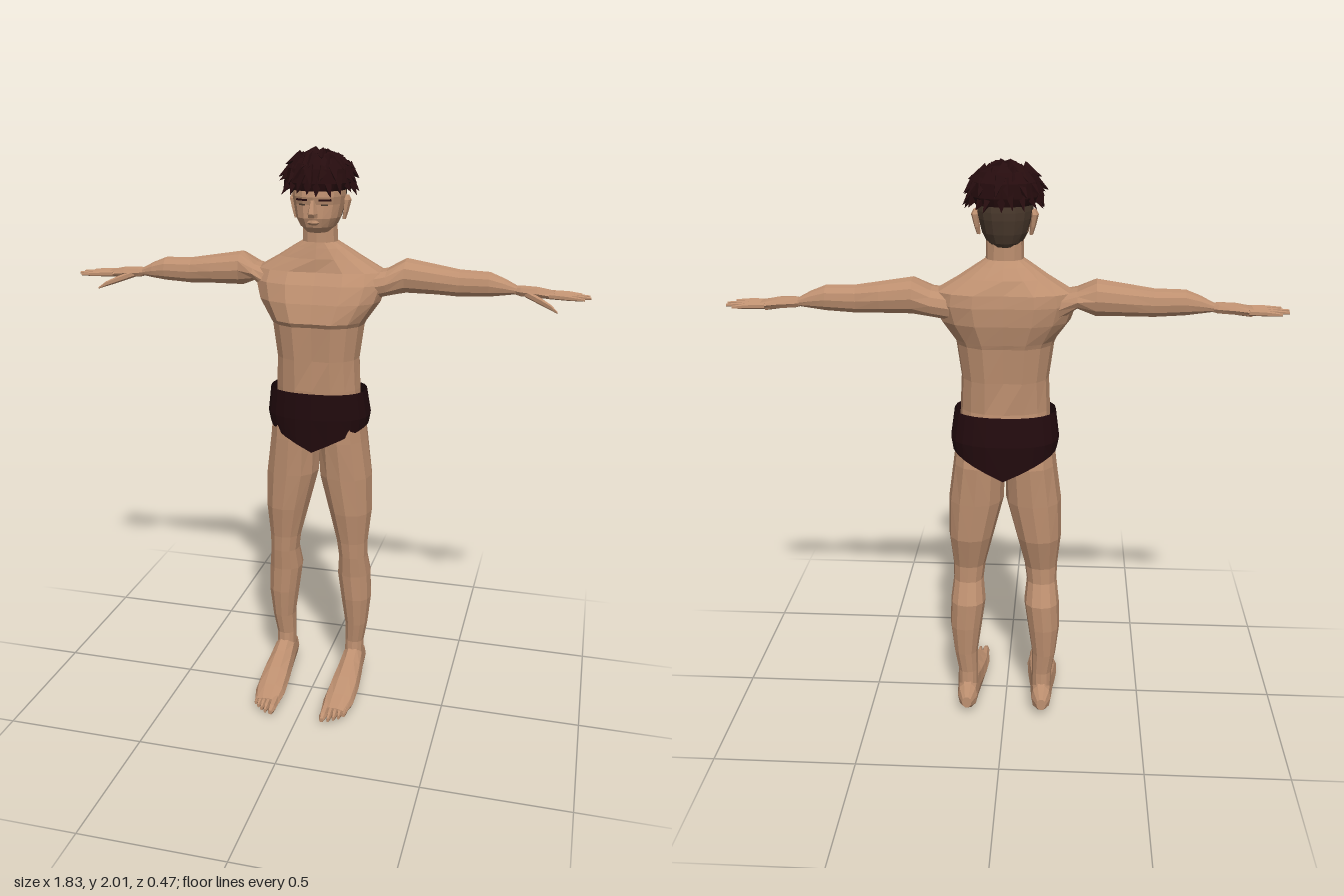
import * as THREE from 'three';

const skin = new THREE.MeshStandardMaterial({ color: 0xbe9070 });
const hairMat = new THREE.MeshStandardMaterial({ color: 0x260c0e });
const briefsMat = new THREE.MeshStandardMaterial({ color: 0x210a0d, side: THREE.DoubleSide });
const stubble = new THREE.MeshStandardMaterial({ color: 0x4c3b2e });
skin.name = 'skin';
hairMat.name = 'hair';
briefsMat.name = 'briefs';
stubble.name = 'stubble';

// Cross-section along an axis from a row [position, minA, maxA, minB, maxB].
function ring(axis, [p, a0, a1, b0, b1], n, power = 0.9) {
  const pts = [];
  for (let i = 0; i < n; i++) {
    const t = (i / n) * Math.PI * 2;
    const soft = v => Math.sign(v) * Math.abs(v) ** power;
    const a = (a0 + a1) / 2 + ((a1 - a0) / 2) * soft(Math.cos(t));
    const b = (b0 + b1) / 2 + ((b1 - b0) / 2) * soft(Math.sin(t));
    if (axis === 'x') pts.push(new THREE.Vector3(p, a, b));
    else if (axis === 'y') pts.push(new THREE.Vector3(a, p, b));
    else pts.push(new THREE.Vector3(a, b, p));
  }
  return pts;
}

// Faceted skin over a stack of rings, wound outward.
function skinRings(rings, capped = true) {
  const tris = [];
  const n = rings[0].length;
  for (let r = 0; r + 1 < rings.length; r++) {
    for (let i = 0; i < n; i++) {
      const j = (i + 1) % n;
      const a = rings[r][i], b = rings[r][j], c = rings[r + 1][i], d = rings[r + 1][j];
      tris.push([a, c, b], [b, c, d]);
    }
  }
  if (capped) {
    const mid = pts => pts.reduce((s, p) => s.add(p), new THREE.Vector3()).divideScalar(n);
    const first = rings[0], last = rings[rings.length - 1];
    const m0 = mid(first), m1 = mid(last);
    for (let i = 0; i < n; i++) {
      const j = (i + 1) % n;
      tris.push([m0, first[i], first[j]], [m1, last[j], last[i]]);
    }
  }
  let volume = 0;
  for (const [a, b, c] of tris) volume += a.dot(b.clone().cross(c));
  const pts = tris.flatMap(([a, b, c]) => (volume < 0 ? [a, c, b] : [a, b, c]));
  const geo = new THREE.BufferGeometry().setFromPoints(pts);
  geo.computeVertexNormals();
  return geo;
}

function loft(axis, rows, n, side = 1, adjust = null) {
  const rings = rows.map(row => ring(axis, row, n));
  rings.flat().forEach(p => {
    if (adjust) adjust(p);
    p.x *= side;
  });
  return skinRings(rings);
}

// Rows symmetric about x = 0: [y, halfWidth, back, front].
const sym = rows => rows.map(([y, w, b, f]) => [y, -w, w, b, f]);

export function createModel() {
  const root = new THREE.Group();
  const add = (name, geo, mat = skin, parent = root) => {
    const mesh = new THREE.Mesh(geo, mat);
    mesh.name = name;
    parent.add(mesh);
    return mesh;
  };

  // Torso with a shallow breastbone and spine groove
  add('torso', loft('y', sym([
    [0.99, 0.05, -0.17, -0.04], [1.06, 0.155, -0.21, 0], [1.19, 0.152, -0.193, 0.01],
    [1.3, 0.147, -0.202, 0.02], [1.42, 0.163, -0.215, 0.03], [1.435, 0.17, -0.22, 0.04],
    [1.5, 0.215, -0.235, 0.025], [1.56, 0.235, -0.238, 0], [1.6, 0.228, -0.232, -0.028],
    [1.645, 0.15, -0.205, -0.042], [1.68, 0.095, -0.178, -0.05], [1.7, 0.062, -0.162, -0.055],
  ]), 16, 1, p => {
    if (Math.abs(p.x) < 0.001 && p.y > 1.25 && p.y < 1.62) p.z += p.z > -0.1 ? -0.012 : 0.012;
  }));
  add('neck', loft('y', sym([
    [1.62, 0.085, -0.18, -0.06], [1.7, 0.062, -0.16, -0.055], [1.78, 0.06, -0.16, -0.055],
  ]), 12));

  // Head, with close-cropped hair at the back
  const head = new THREE.Group();
  head.name = 'head';
  root.add(head);
  const skull = loft('y', sym([
    [1.735, 0.04, -0.155, -0.035], [1.755, 0.06, -0.17, -0.012], [1.785, 0.076, -0.182, -0.002],
    [1.83, 0.086, -0.193, -0.006], [1.855, 0.09, -0.196, 0], [1.91, 0.092, -0.196, -0.008],
    [1.96, 0.07, -0.17, -0.03],
  ]), 16);
  const pos = skull.attributes.position;
  for (let i = 0; i < pos.count; i += 3) {
    const z = (pos.getZ(i) + pos.getZ(i + 1) + pos.getZ(i + 2)) / 3;
    skull.addGroup(i, 3, z < -0.112 ? 1 : 0);
  }
  add('skull', skull, [skin, stubble], head);
  add('nose', loft('y', sym([
    [1.788, 0.017, -0.03, 0.012], [1.802, 0.017, -0.03, 0.022], [1.845, 0.009, -0.03, 0.004],
  ]), 6), skin, head);
  add('lips', loft('y', sym([
    [1.764, 0.016, -0.04, -0.004], [1.772, 0.024, -0.04, 0.006], [1.78, 0.016, -0.04, 0.004],
  ]), 8), skin, head);
  for (const s of [1, -1]) {
    const brow = add('eyebrow', new THREE.BoxGeometry(0.042, 0.006, 0.006), hairMat, head);
    brow.position.set(s * 0.04, 1.846, -0.011);
    brow.rotation.y = s * 0.45;
    const eye = add('eye', new THREE.BoxGeometry(0.022, 0.005, 0.006), stubble, head);
    eye.position.set(s * 0.038, 1.83, -0.014);
    eye.rotation.y = s * 0.45;
    add('ear', loft('y', [
      [1.775, 0.078, 0.09, -0.112, -0.095], [1.8, 0.08, 0.098, -0.122, -0.09],
      [1.84, 0.082, 0.108, -0.13, -0.088], [1.855, 0.082, 0.1, -0.122, -0.095],
    ], 6, s), skin, head);
  }

  // Hair cap with rows of tufts
  const hair = new THREE.Group();
  hair.name = 'hair';
  root.add(hair);
  add('hairCap', loft('y', sym([
    [1.875, 0.098, -0.203, 0.002], [1.9, 0.113, -0.212, 0.01], [1.945, 0.108, -0.208, 0.002],
    [1.975, 0.082, -0.185, -0.022], [1.99, 0.045, -0.145, -0.06],
  ]), 14), hairMat, hair);
  let seed = 7;
  const rand = () => (seed = (seed * 16807) % 2147483647) / 2147483647;
  const up = new THREE.Vector3(0, 1, 0);
  for (const [count, y, r, drop] of [[20, 1.89, 0.112, 1.5], [17, 1.925, 0.112, 0.9], [13, 1.96, 0.088, 0.5], [8, 1.98, 0.05, 0.1]]) {
    for (let i = 0; i < count; i++) {
      const t = ((i + rand() * 0.6) / count) * Math.PI * 2;
      const tuft = add('hairTuft', new THREE.ConeGeometry(0.024, 0.055 + rand() * 0.02, 4).toNonIndexed(), hairMat, hair);
      tuft.geometry.computeVertexNormals();
      tuft.position.set(Math.cos(t) * r, y + (rand() - 0.5) * 0.012, -0.1 + Math.sin(t) * r * 0.95);
      const dir = new THREE.Vector3(Math.cos(t) + (rand() - 0.5) * 0.7, -drop, Math.sin(t) + (rand() - 0.5) * 0.7);
      tuft.quaternion.setFromUnitVectors(up, dir.normalize());
    }
  }

  // Briefs: open shell whose lower edge falls to a point front and back
  const briefRings = sym([
    [1.185, 0.172, -0.208, 0.02], [1.09, 0.185, -0.235, 0.022], [1, 0.178, -0.235, 0.016],
  ]).map(row => ring('y', row, 24, 0.85));
  briefRings[2].forEach(p => { p.y = 0.968 + 0.48 * Math.abs(p.x); });
  add('briefs', skinRings(briefRings, false), briefsMat);

  for (const s of [1, -1]) {
    const label = s > 0 ? 'left' : 'right';

    // Arm and hand
    const arm = new THREE.Group();
    arm.name = label + 'Arm';
    root.add(arm);
    add('armLimb', loft('x', [
      [0.17, 1.5, 1.6, -0.2, -0.05], [0.235, s > 0 ? 1.515 : 1.55, 1.612, -0.213, -0.06],
      [0.295, 1.525, 1.645, -0.215, -0.085], [0.4, 1.525, 1.628, -0.205, -0.09],
      [0.48, 1.522, 1.615, -0.188, -0.1], [0.58, 1.528, 1.612, -0.182, -0.1],
      [0.63, 1.535, 1.592, -0.172, -0.108], [0.675, 1.542, 1.568, -0.162, -0.12],
    ], 12, s), skin, arm);
    add('palm', loft('x', [
      [0.66, 1.542, 1.568, -0.16, -0.122], [0.685, 1.535, 1.572, -0.168, -0.112],
      [0.74, 1.532, 1.57, -0.172, -0.105], [0.795, 1.533, 1.558, -0.176, -0.102],
    ], 8, s), skin, arm);
    for (const [z0, z1, tip] of [[-0.168, -0.18, 0.885], [-0.149, -0.152, 0.912], [-0.13, -0.122, 0.915], [-0.111, -0.09, 0.895]]) {
      add('finger', loft('x', [
        [0.78, 1.536, 1.556, z0 - 0.009, z0 + 0.009],
        [0.84, 1.536, 1.554, (z0 + z1) / 2 - 0.008, (z0 + z1) / 2 + 0.008],
        [tip, 1.538, 1.547, z1 - 0.004, z1 + 0.004],
      ], 6, s), skin, arm);
    }
    add('thumb', loft('x', [
      [0.7, 1.536, 1.562, -0.14, -0.112], [0.755, 1.518, 1.542, -0.105, -0.08],
      [0.79, 1.508, 1.526, -0.078, -0.06], [0.812, 1.501, 1.508, -0.056, -0.048],
    ], 6, s), skin, arm);

    // Leg and foot
    const leg = new THREE.Group();
    leg.name = label + 'Leg';
    root.add(leg);
    add('legLimb', loft('y', [
      [1.1, 0.01, 0.165, -0.2, 0], [1, 0, 0.177, -0.215, 0], [0.86, 0.004, 0.196, -0.206, -0.01],
      [0.72, 0.04, 0.198, -0.196, -0.02], [0.6, 0.07, 0.186, -0.16, -0.04],
      [0.54, 0.078, 0.185, -0.16, -0.045], [0.46, 0.07, 0.195, -0.19, -0.055],
      [0.36, 0.084, 0.198, -0.187, -0.06], [0.25, 0.1, 0.186, -0.176, -0.075],
      [0.17, 0.1, 0.172, -0.167, -0.088], [0.08, 0.1, 0.172, -0.172, -0.08],
    ], 12, s), skin, leg);
    add('foot', loft('z', [
      [-0.202, 0.12, 0.155, 0.04, 0.085], [-0.175, 0.1, 0.172, 0.022, 0.13],
      [-0.1, 0.094, 0.178, 0.008, 0.148], [-0.04, 0.088, 0.184, 0.003, 0.122],
      [0.04, 0.08, 0.19, 0, 0.096], [0.12, 0.076, 0.188, 0.002, 0.068],
      [0.185, 0.082, 0.172, 0.01, 0.046],
    ], 10, s), skin, leg);
    [[0.097, 0.24], [0.119, 0.234], [0.136, 0.222], [0.152, 0.208], [0.167, 0.19]].forEach(([x, tip], i) => {
      const r = i ? 0.009 : 0.014;
      add('toe', loft('z', [
        [tip - 0.08, x - r, x + r, 0.01, 0.05], [tip - 0.025, x - r, x + r, 0.011, 0.043],
        [tip, x - r * 0.6, x + r * 0.6, 0.016, 0.033],
      ], 6, s), skin, leg);
    });
  }
  return root;
}
